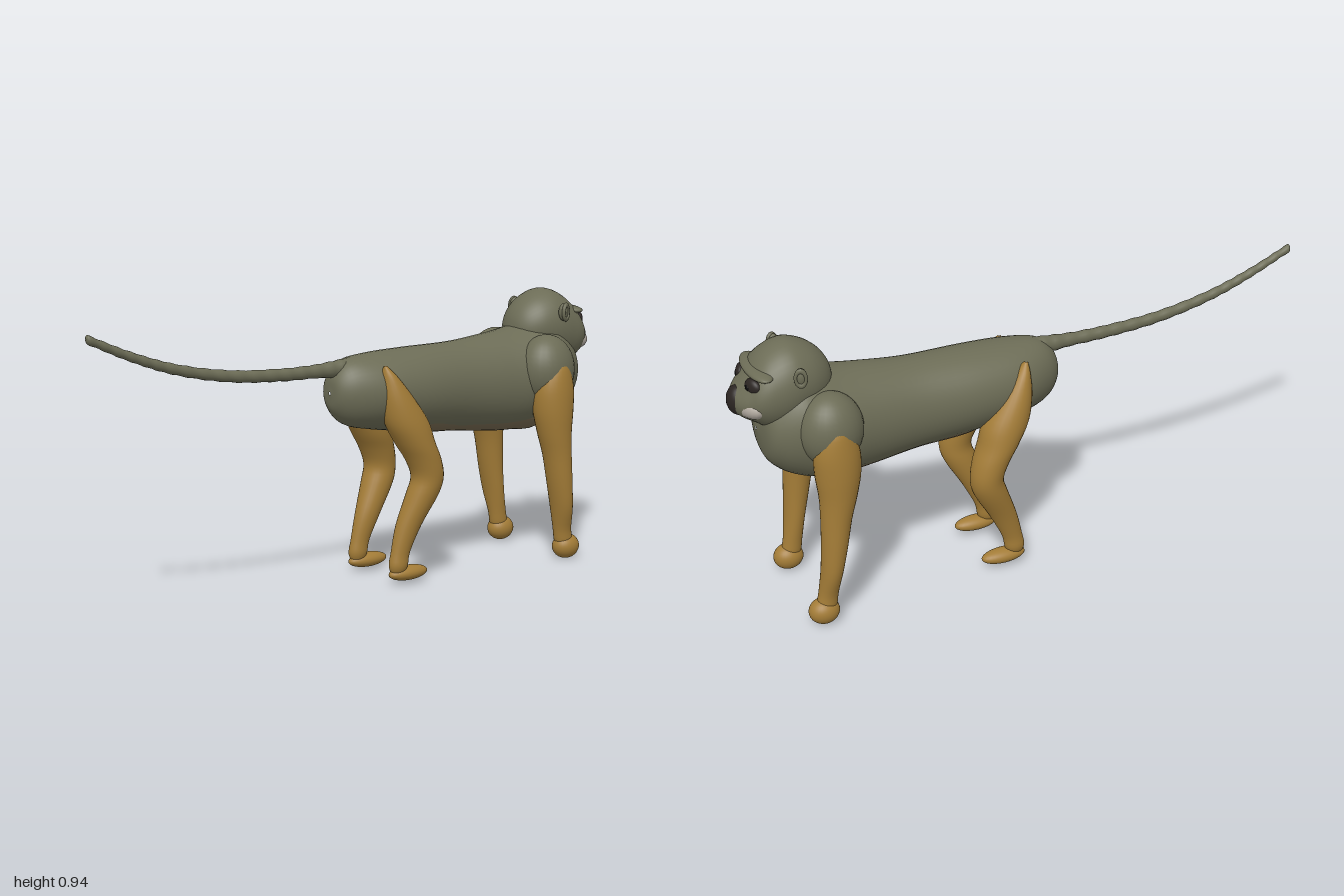
import * as THREE from 'three';

const FUR = 0x6c6c56, LIMB = 0xa37c37, BELLY = 0x74674f, PALE = 0xb0a89e, DARK = 0x2b2522, BLACK = 0x0c0b0b;
const material = (color) => new THREE.MeshStandardMaterial({ color });

function add(parent, name, geometry, color) {
  const mesh = new THREE.Mesh(geometry, material(color));
  mesh.name = name;
  parent.add(mesh);
  return mesh;
}

// Smooth skin through elliptical rings. A row is [position on axis, min, max, min z, max z];
// min and max are y for axis 'x' (rows ascending) and x for axis 'y' (rows descending).
function loft(rows, axis, side = 1, steps = 4, segments = 28) {
  const first = new THREE.CatmullRomCurve3(rows.map((r) => new THREE.Vector3(r[0], r[1], r[2])), false, 'catmullrom');
  const second = new THREE.CatmullRomCurve3(rows.map((r) => new THREE.Vector3(r[3], r[4], 0)), false, 'catmullrom');
  const count = (rows.length - 1) * steps;
  const positions = [], index = [];
  for (let i = 0; i <= count; i++) {
    const a = first.getPoint(i / count), b = second.getPoint(i / count);
    for (let j = 0; j < segments; j++) {
      const t = (j / segments) * Math.PI * 2;
      const u = (a.y + a.z) / 2 + ((a.z - a.y) / 2) * Math.cos(t);
      const z = (side * (b.x + b.y)) / 2 + ((b.y - b.x) / 2) * Math.sin(t);
      if (axis === 'x') positions.push(a.x, u, z);
      else positions.push(u, a.x, z);
      if (i < count) {
        const p = i * segments + j, q = i * segments + ((j + 1) % segments);
        index.push(p, q, p + segments, q, q + segments, p + segments);
      }
    }
  }
  const geometry = new THREE.BufferGeometry();
  geometry.setAttribute('position', new THREE.Float32BufferAttribute(positions, 3));
  geometry.setIndex(index);
  geometry.computeVertexNormals();
  return geometry;
}

function ellipsoid(parent, name, color, [x, y, z], [rx, ry, rz]) {
  const mesh = add(parent, name, new THREE.SphereGeometry(1, 28, 20).scale(rx, ry, rz), color);
  mesh.position.set(x, y, z);
  return mesh;
}

// x, bottom y, top y, half width
const TORSO = [
  [-0.11, 0.645, 0.655, 0.005], [-0.1, 0.59, 0.71, 0.05], [-0.05, 0.54, 0.757, 0.093],
  [0.05, 0.515, 0.772, 0.13], [0.2, 0.495, 0.778, 0.143], [0.4, 0.477, 0.782, 0.136],
  [0.55, 0.46, 0.797, 0.148], [0.65, 0.455, 0.81, 0.165], [0.74, 0.46, 0.83, 0.175],
  [0.8, 0.475, 0.84, 0.162], [0.86, 0.51, 0.8, 0.135], [0.9, 0.56, 0.75, 0.095], [0.915, 0.65, 0.66, 0.005],
];
const HEAD = [
  [0.665, 0.79, 0.8, 0.005], [0.675, 0.75, 0.845, 0.045], [0.7, 0.72, 0.885, 0.08],
  [0.74, 0.7, 0.918, 0.107], [0.79, 0.68, 0.938, 0.122], [0.83, 0.665, 0.937, 0.125],
  [0.87, 0.662, 0.92, 0.121], [0.9, 0.672, 0.897, 0.115], [0.925, 0.69, 0.868, 0.104],
  [0.945, 0.702, 0.843, 0.087], [0.965, 0.716, 0.818, 0.068], [0.982, 0.735, 0.797, 0.04], [0.99, 0.764, 0.768, 0.003],
];
const symmetric = ([x, low, high, w]) => [x, low, high, -w, w];

// Tapering, slightly knobbly tail
function tailGeometry() {
  const path = new THREE.CatmullRomCurve3([
    [-0.995, 0.896], [-0.85, 0.833], [-0.7, 0.782], [-0.5, 0.742], [-0.3, 0.728], [-0.12, 0.728], [0.02, 0.73],
  ].map(([x, y]) => new THREE.Vector3(x, y, 0)));
  const rows = [[-1, 0.897, 0.899, -0.002, 0.002]], n = 64;
  for (let i = 0; i <= n; i++) {
    const t = i / n, p = path.getPoint(t);
    const r = 0.014 + 0.01 * t + 0.014 * Math.max(0, t - 0.78) / 0.22 + 0.0012 * Math.sin(i * 1.9);
    rows.push([p.x, p.y - r, p.y + r, -r * 0.9, r * 0.9]);
  }
  return loft(rows, 'x', 1, 2, 14);
}

// y, min x, max x, inner z, outer z
const ARM = [
  [0.72, 0.715, 0.725, 0.19, 0.2], [0.69, 0.675, 0.765, 0.13, 0.226], [0.62, 0.645, 0.79, 0.115, 0.238],
  [0.54, 0.643, 0.79, 0.108, 0.241], [0.46, 0.66, 0.782, 0.118, 0.238], [0.38, 0.683, 0.782, 0.128, 0.235],
  [0.28, 0.703, 0.786, 0.134, 0.234], [0.19, 0.722, 0.792, 0.137, 0.228], [0.11, 0.737, 0.802, 0.142, 0.207],
  [0.06, 0.745, 0.81, 0.145, 0.203], [0.03, 0.765, 0.79, 0.165, 0.185],
];
const LEG = [
  [0.74, 0.035, 0.045, 0.1, 0.108], [0.7, 0.028, 0.085, 0.06, 0.138], [0.63, 0.027, 0.14, 0.05, 0.165],
  [0.55, 0.042, 0.195, 0.045, 0.184], [0.48, 0.08, 0.217, 0.05, 0.19], [0.42, 0.118, 0.24, 0.065, 0.19],
  [0.36, 0.14, 0.25, 0.075, 0.187], [0.3, 0.122, 0.236, 0.072, 0.178], [0.2, 0.085, 0.178, 0.075, 0.153],
  [0.11, 0.063, 0.133, 0.085, 0.14], [0.06, 0.055, 0.122, 0.086, 0.14], [0.02, 0.075, 0.1, 0.105, 0.12],
];

export function createModel() {
  const model = new THREE.Group();
  model.name = 'monkey';

  // Trunk and tail
  add(model, 'torso', loft(TORSO.map(symmetric), 'x', 1, 5, 40), FUR);
  const belly = TORSO.slice(3, 10).map(([x, low, , w]) => [x, low - 0.003, low + 0.16, -w * 0.72, w * 0.72]);
  belly[0] = [0.1, 0.56, 0.57, -0.01, 0.01];
  belly[6] = [0.8, 0.56, 0.57, -0.01, 0.01];
  add(model, 'belly', loft(belly, 'x', 1, 6), BELLY);
  add(model, 'tail', tailGeometry(), FUR);

  // Head and face
  const head = new THREE.Group();
  head.name = 'head';
  model.add(head);
  add(head, 'skull', loft(HEAD.map(symmetric), 'x', 1, 5, 40), FUR);
  ellipsoid(head, 'brow', FUR, [0.898, 0.862, 0], [0.042, 0.018, 0.112]);
  ellipsoid(head, 'muzzle', PALE, [0.925, 0.756, 0], [0.056, 0.047, 0.102]);
  ellipsoid(head, 'nose', DARK, [0.962, 0.766, 0], [0.038, 0.05, 0.042]);

  for (const s of [1, -1]) {
    const side = s > 0 ? 'left' : 'right';
    const eyePatch = ellipsoid(head, side + 'EyePatch', DARK, [0.93, 0.829, s * 0.058], [0.018, 0.027, 0.033]);
    eyePatch.rotation.y = -s * 0.4;
    ellipsoid(head, side + 'Eye', BLACK, [0.942, 0.828, s * 0.052], [0.011, 0.012, 0.014]);

    // Ear: rounded flap with a raised rim
    const ear = new THREE.Group();
    ear.name = side + 'Ear';
    ear.position.set(0.8, 0.866, s * 0.127);
    ear.rotation.y = s * 0.35;
    head.add(ear);
    ellipsoid(ear, 'earFlap', FUR, [0, 0, 0], [0.019, 0.03, 0.016]);
    add(ear, 'earRim', new THREE.TorusGeometry(0.02, 0.007, 10, 24).scale(0.8, 1.25, 1), FUR).position.z = s * 0.01;

    // Front limb
    ellipsoid(model, side + 'Shoulder', FUR, [0.718, 0.672, s * 0.132], [0.105, 0.122, 0.094]);
    add(model, side + 'Arm', loft(ARM, 'y', s), LIMB);
    ellipsoid(model, side + 'Hand', LIMB, [0.788, 0.044, s * 0.175], [0.051, 0.044, 0.043]);

    // Hind limb
    add(model, side + 'Leg', loft(LEG, 'y', s), LIMB);
    ellipsoid(model, side + 'Foot', LIMB, [0.13, 0.035, s * 0.113], [0.078, 0.025, 0.033]);
  }
  return model;
}
